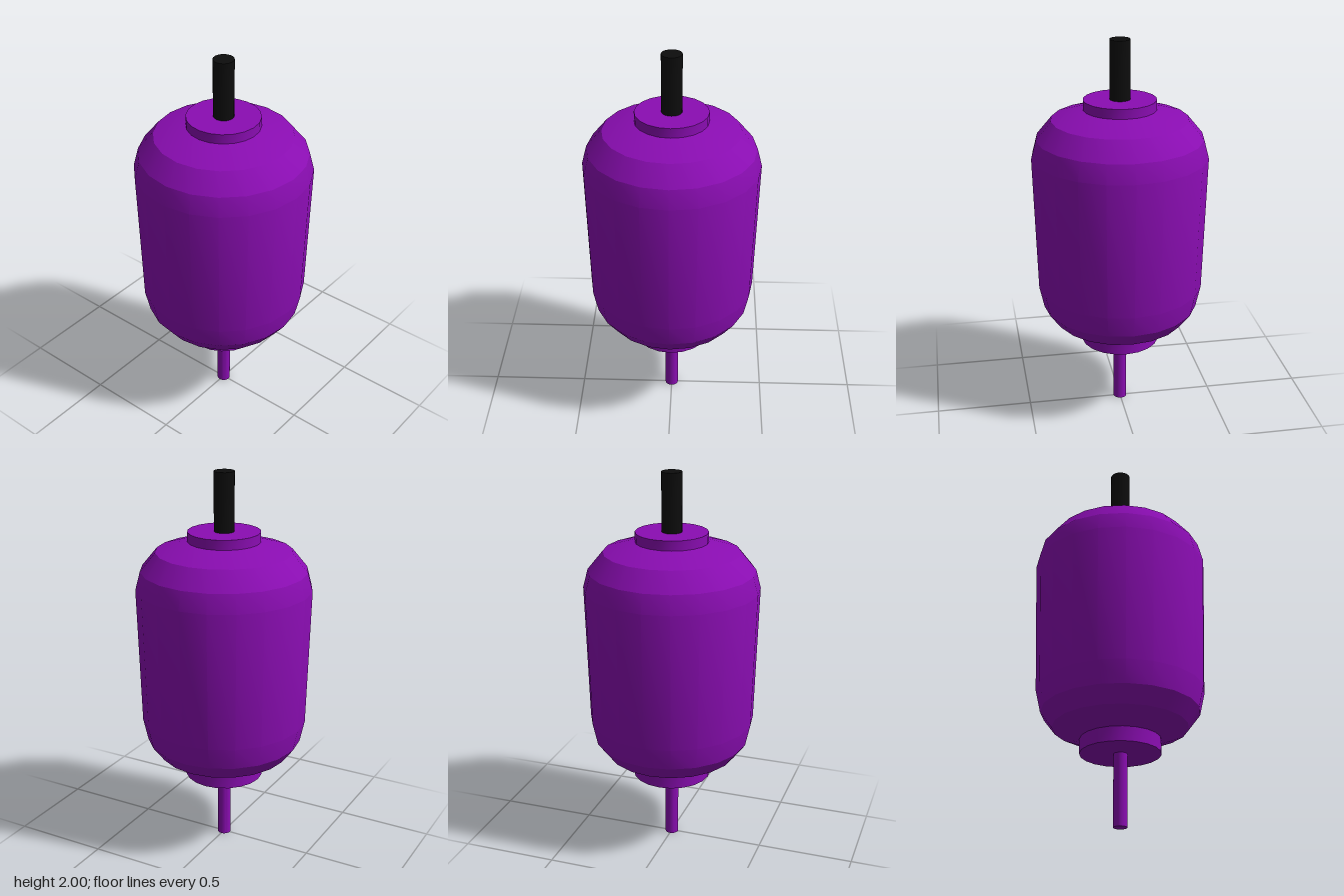
import * as THREE from 'three';
import { toCreasedNormals } from 'three/addons/utils/BufferGeometryUtils.js';

const SIDES = 20;
const CREASE = THREE.MathUtils.degToRad(20);

export function createModel() {
  const model = new THREE.Group();
  model.name = 'canister';
  const purple = new THREE.MeshStandardMaterial({ color: 0x8a0db2 });
  const black = new THREE.MeshStandardMaterial({ color: 0x0d0d0d });

  function add(name, geometry, material) {
    const mesh = new THREE.Mesh(toCreasedNormals(geometry, CREASE), material);
    mesh.name = name;
    model.add(mesh);
  }

  // Upright capped cylinder spanning two heights
  function addCylinder(name, radius, bottom, top, material) {
    const geometry = new THREE.CylinderGeometry(radius, radius, top - bottom, SIDES);
    geometry.translate(0, (bottom + top) / 2, 0);
    add(name, geometry, material);
  }

  // Tapered barrel with rounded shoulders, as [radius, height]
  const profile = [
    [0, 0.445], [0.205, 0.445], [0.345, 0.505], [0.405, 0.585], [0.43, 0.7],
    [0.45, 1.41], [0.425, 1.505], [0.347, 1.6], [0.185, 1.65], [0, 1.65],
  ].map(([r, y]) => new THREE.Vector2(r, y));
  add('body', new THREE.LatheGeometry(profile, SIDES), purple);

  // Collars at both ends
  addCylinder('topCollar', 0.185, 1.64, 1.7, purple);
  addCylinder('bottomCollar', 0.205, 0.37, 0.455, purple);

  // Rod above and thin pin below
  addCylinder('topRod', 0.052, 1.69, 2, black);
  addCylinder('bottomPin', 0.035, 0, 0.38, purple);

  return model;
}
